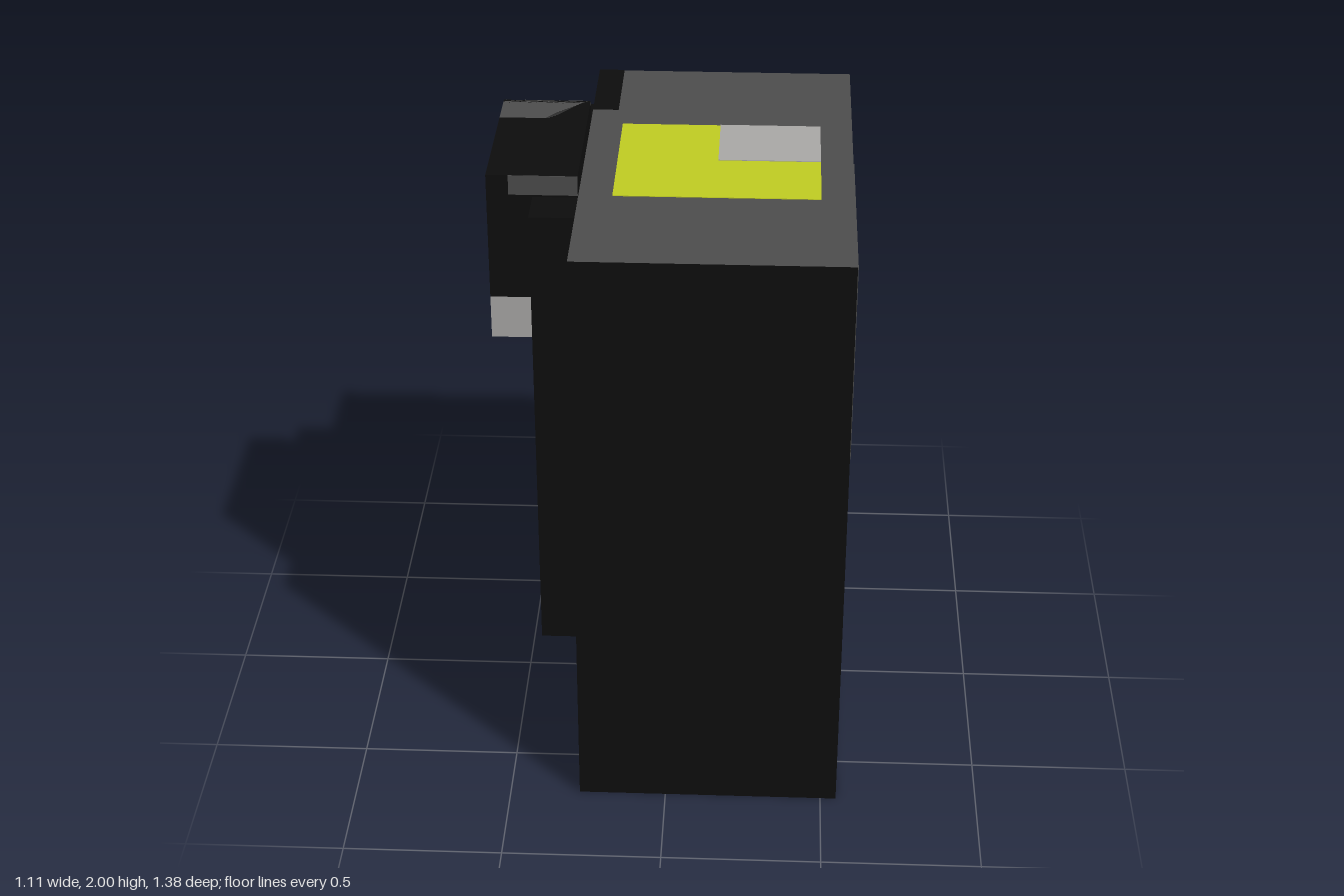
import * as THREE from 'three';

const material = (name, color) => {
  const m = new THREE.MeshStandardMaterial({ color });
  m.name = name;
  return m;
};

export function createModel() {
  const black = material('black', 0x0d0d0d);
  const grey = material('dark grey', 0x4c4c4c);
  const light = material('light grey', 0xa8a7a5);
  const yellow = material('yellow', 0xbfcb22);
  const navy = material('navy', 0x1c1a38);

  const group = new THREE.Group();

  // Box given by its limits on each axis
  const box = (name, mat, [x0, x1], [y0, y1], [z0, z1]) => {
    const mesh = new THREE.Mesh(new THREE.BoxGeometry(x1 - x0, y1 - y0, z1 - z0), mat);
    mesh.position.set((x0 + x1) / 2, (y0 + y1) / 2, (z0 + z1) / 2);
    mesh.name = name;
    group.add(mesh);
    return mesh;
  };
  // Thin range around a surface, for painted plates
  const skin = (v, t = 0.002) => [v - t, v + t];

  // Main cabinet with a grey lid face
  const top = 1.93;
  box('cabinet', [black, black, grey, black, black, black], [-0.277, 0.55], [0, top], [-0.69, 0.69]);

  // Painted areas on the lid
  box('lidYellowPanel', yellow, [-0.175, 0.45], skin(top), [-0.26, 0.26]);
  box('lidLightPanel', light, [0.135, 0.45], skin(top, 0.004), [-0.26, 0]);
  box('lidBlackStrip', black, [-0.277, -0.195], skin(top), [-0.69, -0.37]);

  // Grey panel on the left side, with a slightly stepped lower edge
  box('sidePanelFront', grey, skin(0.55), [1.29, top], [0.34, 0.69]);
  box('sidePanelRear', grey, skin(0.55), [1.305, top], [0.005, 0.34]);

  // Pair of columns with an open groove between them
  for (const s of [-1, 1]) {
    const z = [s * 0.138, s * 0.413].sort((a, b) => a - b);
    box('column', black, [-0.413, -0.277], [0.417, top], z);
  }

  // Control head and the block hanging below it, with light ends
  box('controlHead', black, [-0.552, -0.277], [1.59, 2], [-0.276, 0.276]);
  box('lowerBlock', [black, black, black, black, light, light],
    [-0.552, -0.413], [1.45, 1.59], [-0.276, 0.276]);

  // Painted areas on the control head
  box('headTopPanel', grey, [-0.552, -0.277], skin(1.998), [-0.276, -0.14]);
  for (const s of [-1, 1]) {
    box('headEndPanel', grey, [-0.485, -0.277], [1.937, 2], skin(s * 0.276));
  }
  box('screenFrame', grey, skin(-0.552), [1.875, 1.985], [-0.18, 0.195]);
  box('screen', navy, skin(-0.552, 0.004), [1.9, 1.97], [-0.135, 0.16]);

  return group;
}
